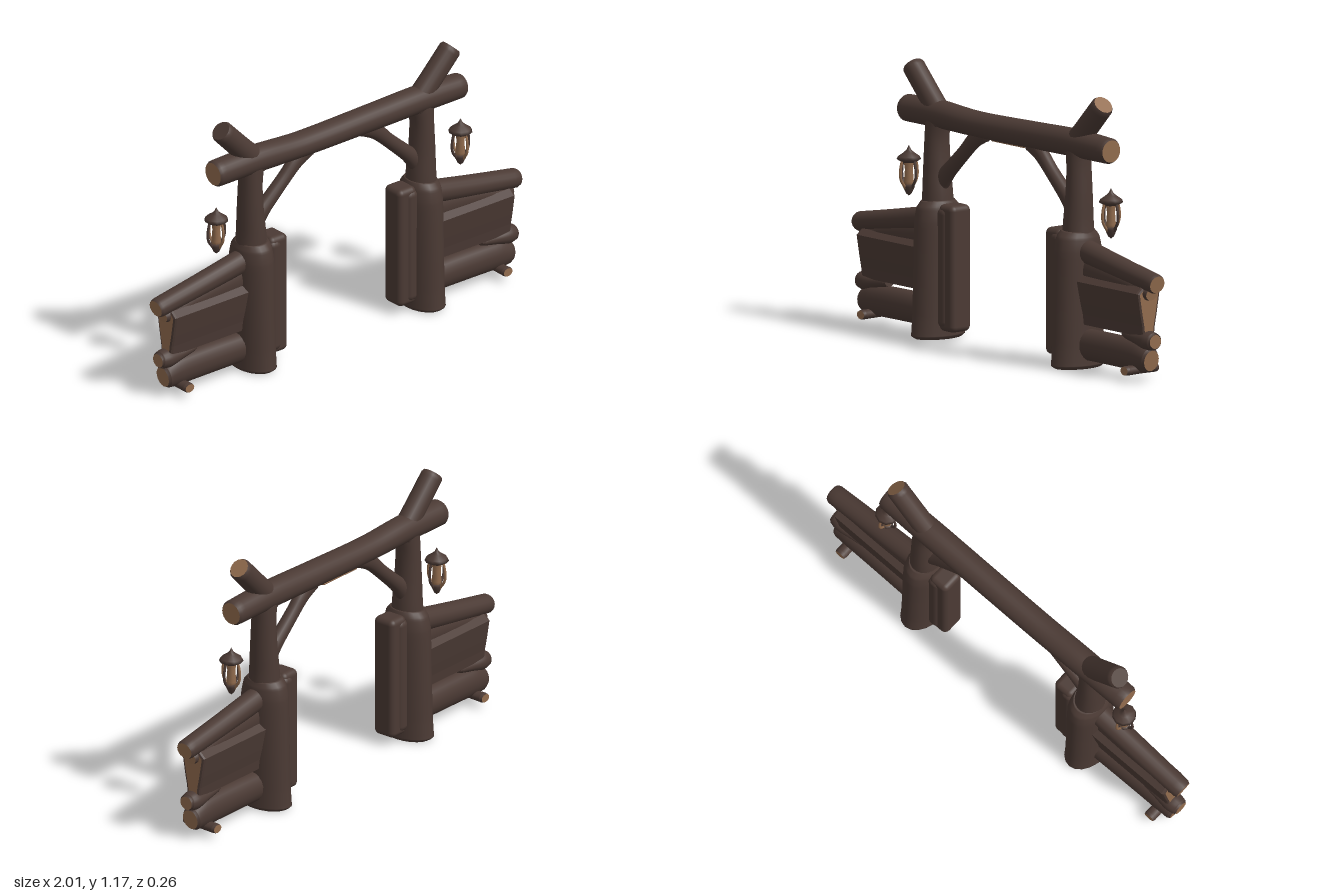
import * as THREE from 'three';
import { RoundedBoxGeometry } from 'three/addons/geometries/RoundedBoxGeometry.js';

const bark = new THREE.MeshStandardMaterial({ color: 0x4b3a34 });
bark.name = 'dark bark';
const wood = new THREE.MeshStandardMaterial({ color: 0x926c4e });
wood.name = 'cut wood';

function add(parent, name, geometry, material, x = 0, y = 0, z = 0) {
  const mesh = new THREE.Mesh(geometry, material);
  mesh.name = name;
  mesh.position.set(x, y, z);
  parent.add(mesh);
  return mesh;
}

// Log swept in the xy plane; each station is [x, y, in-plane radius, z radius].
function log(parent, name, stations, startCap = bark, endCap = bark, sides = 18) {
  const path = new THREE.CatmullRomCurve3(stations.map(s => new THREE.Vector3(s[0], s[1], 0)));
  const radii = new THREE.CatmullRomCurve3(stations.map(s => new THREE.Vector3(s[2], s[3], 0)));
  const steps = 6 * (stations.length - 1);
  const pos = [], index = [];
  const ring = (t, shift, scale) => {
    const c = path.getPoint(t), r = radii.getPoint(t), d = path.getTangent(t);
    c.addScaledVector(d, shift);
    for (let j = 0; j < sides; j++) {
      const a = j / sides * Math.PI * 2, u = Math.cos(a) * r.x * scale;
      pos.push(c.x - d.y * u, c.y + d.x * u, Math.sin(a) * r.y * scale);
    }
    return c;
  };
  // slightly bevelled ends
  const rows = steps + 3;
  ring(0, 0, 0.87);
  ring(0, 0.012, 1);
  for (let i = 1; i < steps; i++) ring(i / steps, 0, 1);
  ring(1, -0.012, 1);
  ring(1, 0, 0.87);
  for (let i = 0; i < rows - 1; i++) for (let j = 0; j < sides; j++) {
    const k = (j + 1) % sides, a = i * sides, b = a + sides;
    index.push(a + j, a + k, b + j, a + k, b + k, b + j);
  }
  const g = new THREE.BufferGeometry();
  g.addGroup(0, index.length, 0);
  for (const end of [0, 1]) {
    const first = pos.length / 3, from = index.length;
    const c = ring(end, 0, 0.87);
    pos.push(c.x, c.y, c.z);
    for (let j = 0; j < sides; j++) {
      const p = first + j, q = first + (j + 1) % sides;
      index.push(first + sides, end ? p : q, end ? q : p);
    }
    g.addGroup(from, index.length - from, end + 1);
  }
  g.setAttribute('position', new THREE.Float32BufferAttribute(pos, 3));
  g.setIndex(index);
  g.computeVertexNormals();
  return add(parent, name, g, [bark, startCap, endCap]);
}

// Wedge-section plank wall running along x, with pale outer end
function panel(parent, s) {
  const half = [[0.022, 0.205], [0.026, 0.24], [0.036, 0.29], [0.05, 0.375], [0.03, 0.392]];
  const pts = [...half, ...half.slice().reverse().map(([z, y]) => [-z, y])];
  const shape = new THREE.Shape(pts.map(([z, y]) => new THREE.Vector2(z, y)));
  const g = new THREE.ExtrudeGeometry(shape, {
    depth: 0.42, bevelSize: 0.012, bevelThickness: 0.012, bevelSegments: 2
  });
  g.rotateY(Math.PI / 2 * s);
  add(parent, 'fencePanel', g, [wood, bark], s * 0.51, 0, 0);
}

function lantern(parent, x) {
  const g = new THREE.Group();
  g.name = 'lantern';
  g.position.x = x;
  parent.add(g);
  const lathe = pts => new THREE.LatheGeometry(pts.map(p => new THREE.Vector2(...p)), 10);
  add(g, 'lanternRoof', lathe([[0, 0.718], [0.03, 0.722], [0.052, 0.735], [0.046, 0.748],
    [0.024, 0.763], [0.01, 0.775], [0, 0.795]]), bark);
  add(g, 'lanternCore', lathe([[0, 0.61], [0.018, 0.615], [0.021, 0.64], [0.017, 0.69], [0.022, 0.725]]), wood);
  add(g, 'lanternBase', lathe([[0, 0.578], [0.012, 0.588], [0.026, 0.618], [0.022, 0.628], [0, 0.63]]), bark);
  for (let i = 0; i < 4; i++) {
    const a = i * Math.PI / 2, c = Math.cos(a), d = Math.sin(a);
    const curve = new THREE.CatmullRomCurve3([[0.036, 0.735], [0.046, 0.69], [0.043, 0.65], [0.018, 0.612]]
      .map(([r, y]) => new THREE.Vector3(c * r, y, d * r)));
    add(g, 'lanternRib', new THREE.TubeGeometry(curve, 10, 0.006, 6), i % 2 ? wood : bark);
  }
}

function side(parent, s) {
  const g = new THREE.Group();
  g.name = s > 0 ? 'leftSide' : 'rightSide';
  parent.add(g);
  const m = list => list.map(([x, ...rest]) => [s * x, ...rest]);

  // posts
  log(g, 'lowerPost', m([[0.467, 0, 0.086, 0.132], [0.467, 0.1, 0.084, 0.124], [0.467, 0.3, 0.083, 0.118],
    [0.467, 0.5, 0.083, 0.112], [0.467, 0.56, 0.076, 0.1], [0.469, 0.595, 0.062, 0.07]]), bark, bark, 20);
  log(g, 'upperPost', m([[0.47, 0.54, 0.068, 0.072], [0.47, 0.62, 0.062, 0.068], [0.474, 0.72, 0.055, 0.062],
    [0.474, 0.85, 0.05, 0.056], [0.465, 0.97, 0.062, 0.052]]));
  add(g, 'innerPlank', new RoundedBoxGeometry(0.1, 0.545, 0.11, 4, 0.025), bark, s * 0.356, 0.311, 0);
  add(g, 'innerPlankRidge', new RoundedBoxGeometry(0.07, 0.52, 0.125, 4, 0.03), bark, s * 0.378, 0.311, 0);

  // bracing above
  log(g, 'topBranch', m([[0.42, 0.92, 0.056, 0.05], [0.53, 1.035, 0.05, 0.048], [0.637, 1.145, 0.049, 0.048]]),
    bark, s > 0 ? wood : bark);
  log(g, 'brace', m([[0.455, 0.665, 0.05, 0.035], [0.39, 0.725, 0.034, 0.032], [0.29, 0.815, 0.031, 0.03],
    [0.22, 0.88, 0.036, 0.03], [0.15, 0.925, 0.045, 0.03]]));

  // fence
  log(g, 'topRail', m([[0.48, 0.51, 0.052, 0.05], [0.75, 0.462, 0.047, 0.048], [0.997, 0.422, 0.042, 0.045]]), bark, wood);
  log(g, 'upperBoard', m([[0.48, 0.425, 0.07, 0.036], [0.75, 0.405, 0.055, 0.038], [0.96, 0.375, 0.03, 0.035]]), bark, wood);
  panel(g, s);
  log(g, 'middleLog', m([[0.79, 0.188, 0.02, 0.03], [0.87, 0.18, 0.03, 0.038], [0.94, 0.175, 0.042, 0.045],
    [0.985, 0.175, 0.034, 0.036]]), bark, wood);
  log(g, 'bottomLog', m([[0.48, 0.103, 0.068, 0.055], [0.7, 0.104, 0.069, 0.052], [0.88, 0.1, 0.068, 0.05],
    [0.958, 0.09, 0.052, 0.046]]), bark, wood);
  const foot = log(g, 'crossFoot', [[-0.086, 0, 0.021, 0.028], [0, 0, 0.02, 0.026], [0.086, 0, 0.021, 0.028]], wood, wood, 12);
  foot.rotation.y = Math.PI / 2;
  foot.position.set(s * 0.88, 0.045, 0);

  lantern(g, s > 0 ? 0.688 : -0.662);
}

export function createModel() {
  const model = new THREE.Group();
  model.name = 'timberGateway';
  log(model, 'crossBeam', [[-0.68, 0.955, 0.058, 0.058], [-0.45, 0.957, 0.06, 0.06], [-0.2, 0.948, 0.055, 0.06],
    [0.2, 0.953, 0.058, 0.06], [0.45, 0.957, 0.06, 0.06], [0.69, 0.952, 0.055, 0.056]], wood, wood, 24);
  // worn patch beneath the beam
  const patch = add(model, 'wornPatch', new RoundedBoxGeometry(0.22, 0.008, 0.03, 2, 0.004), wood, 0, 0.893, -0.012);
  patch.rotation.x = 0.2;
  for (const s of [1, -1]) side(model, s);
  return model;
}
